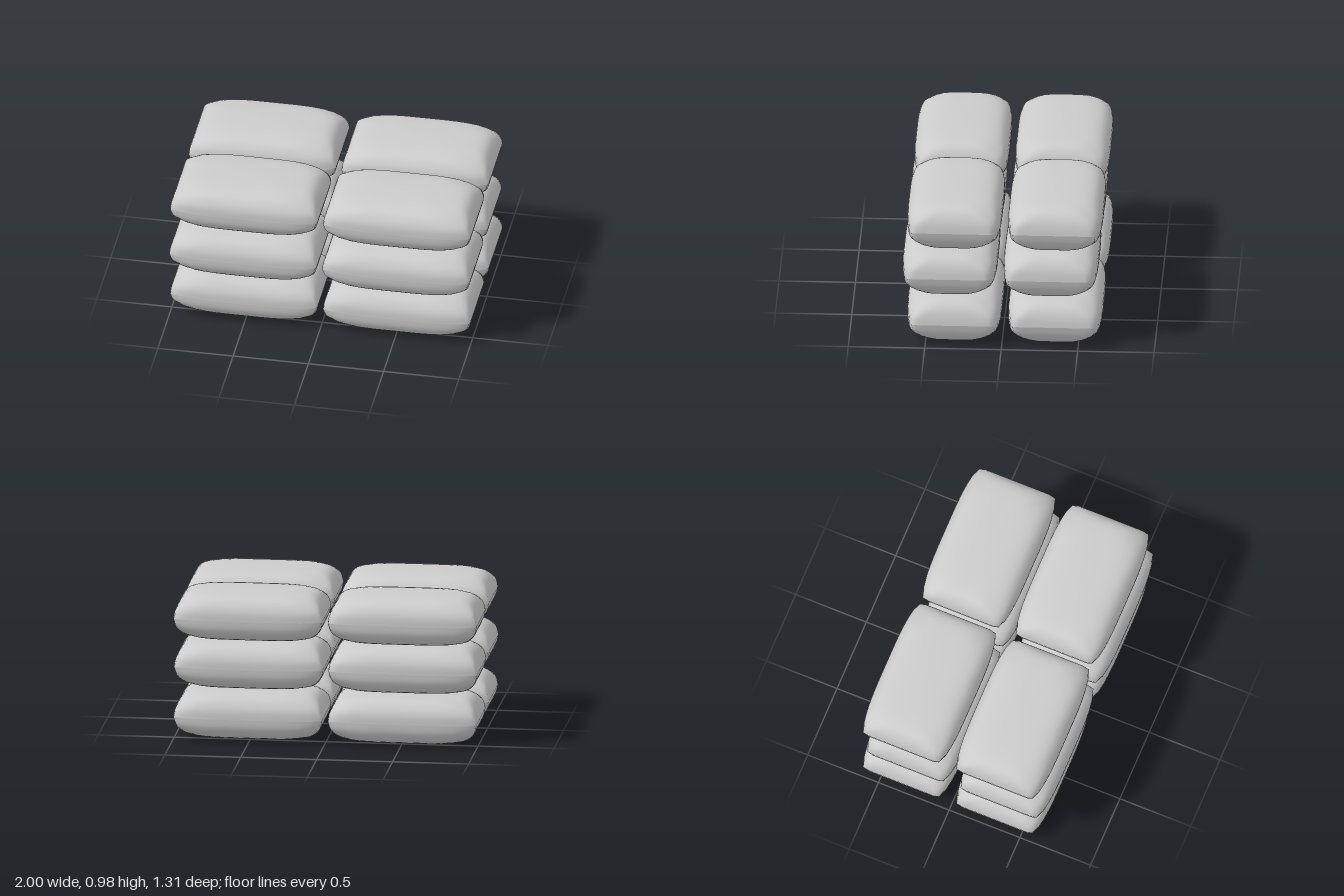
import * as THREE from 'three';
import { mergeVertices, mergeGeometries } from 'three/addons/utils/BufferGeometryUtils.js';

const RINGS = 14, SIDE = 14;

// Half length (x), height (y) and half depth (z) of the cushion from seam to crown
const profile = new THREE.CatmullRomCurve3([
  [0.49, 0, 0.31], [0.479, 0.05, 0.306], [0.46, 0.092, 0.287], [0.425, 0.13, 0.248],
  [0.36, 0.15, 0.18], [0.2, 0.159, 0.09], [0, 0.162, 0],
].map((p) => new THREE.Vector3(...p)));

// Points around a unit square, walking from +x towards +z
const square = [];
for (let s = 0; s < 4; s++) {
  for (let i = 0; i < SIDE; i++) {
    const f = -1 + (2 * i) / SIDE;
    square.push([[1, f], [-f, 1], [-1, -f], [f, -1]][s]);
  }
}

// Upper half of a sack: square at the seam, with rounder rings towards the crown
function halfSack() {
  const pos = [], index = [], n = square.length;
  for (let k = 0; k <= RINGS; k++) {
    const t = k / RINGS;
    const size = profile.getPoint(t);
    const power = 4 + 60 * (1 - t) ** 6;
    for (const [p, q] of square) {
      const r = (Math.abs(p) ** power + Math.abs(q) ** power) ** (-1 / power);
      const bulge = 0.875 + 0.125 * (1 - p ** 4);
      pos.push(size.x * p * r, size.y, size.z * q * r * bulge);
    }
  }
  for (let k = 0; k < RINGS; k++) {
    for (let j = 0; j < n; j++) {
      const a = k * n + j, b = k * n + ((j + 1) % n);
      index.push(a, a + n, b);
      if (k < RINGS - 1) index.push(b, a + n, b + n);
    }
  }
  const geo = new THREE.BufferGeometry();
  geo.setAttribute('position', new THREE.Float32BufferAttribute(pos, 3));
  geo.setIndex(index);
  const merged = mergeVertices(geo);
  merged.computeVertexNormals();
  return merged;
}

export function createModel() {
  const model = new THREE.Group();
  model.name = 'sackStack';
  const material = new THREE.MeshStandardMaterial({ color: 0xcccccc });

  // Two separate halves keep the seam crisp
  const top = halfSack();
  const sack = mergeGeometries([top, top.clone().rotateX(Math.PI)]);

  // Three layers of four sacks, each layer shifted a little in depth
  [-0.015, 0.015, -0.015].forEach((shift, layer) => {
    const row = new THREE.Group();
    row.name = `layer${layer + 1}`;
    for (const x of [-0.51, 0.506]) {
      for (const z of [-0.3275, 0.3325]) {
        const mesh = new THREE.Mesh(sack, material);
        mesh.name = `sack${z > 0 ? 'Front' : 'Back'}${x > 0 ? 'Left' : 'Right'}`;
        mesh.position.set(x, 0.165 + layer * 0.33, z + shift);
        row.add(mesh);
      }
    }
    model.add(row);
  });
  return model;
}
